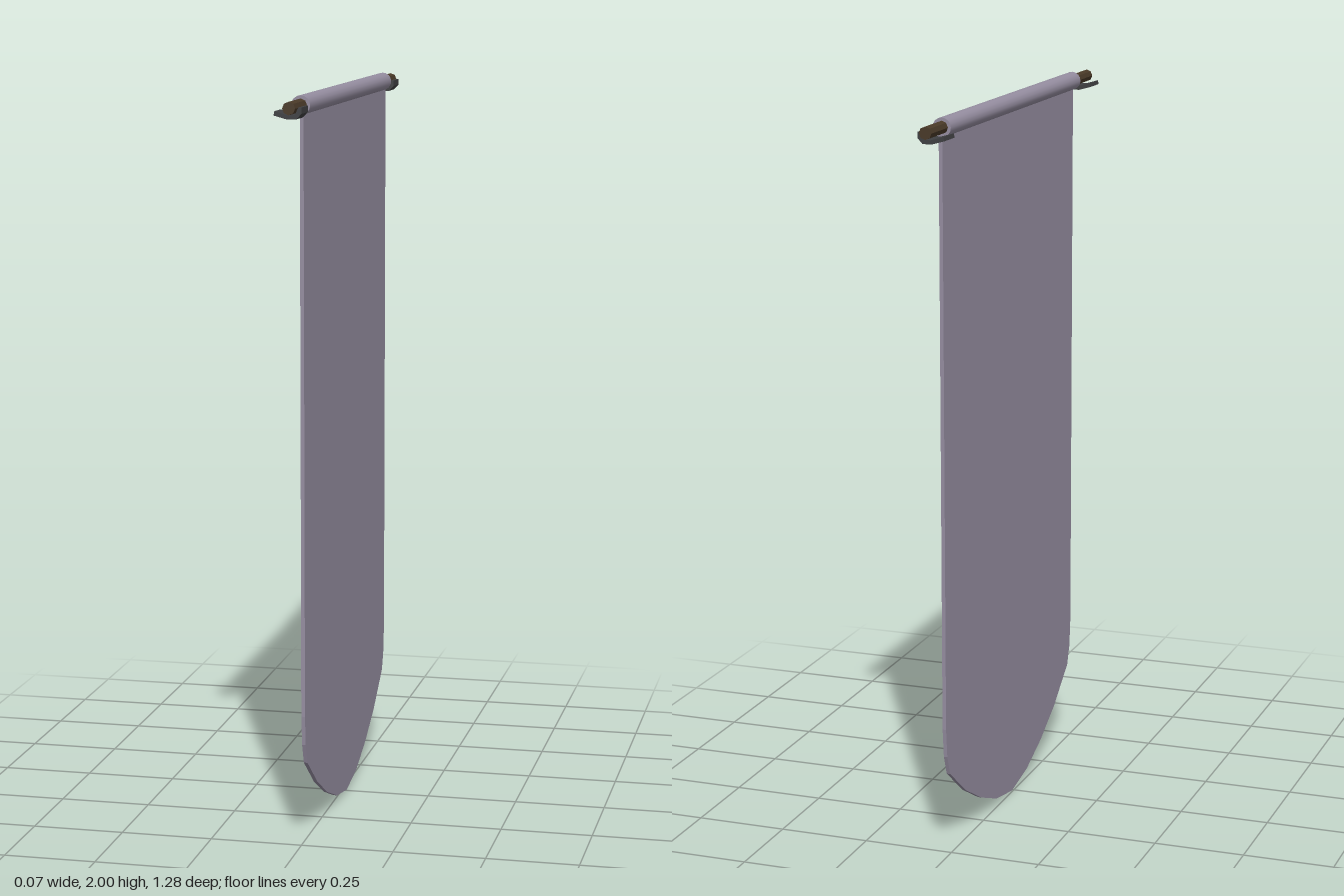
import * as THREE from 'three';

const ROD_X = 0.005, ROD_Y = 1.975, CLOTH_Z = -0.008;

function part(name, geometry, color, flatShading = false) {
  const mesh = new THREE.Mesh(geometry, new THREE.MeshStandardMaterial({ color, flatShading }));
  mesh.name = name;
  return mesh;
}

// Cylinder lying along z
function bar(radius, length, sides) {
  return new THREE.CylinderGeometry(radius, radius, length, sides).rotateX(Math.PI / 2);
}

export function createModel() {
  const group = new THREE.Group();
  group.name = 'hangingBanner';
  const lilac = 0x968ea1, wood = 0x4a3a28, iron = 0x3f4042;

  // Cloth: straight sides, soft corners and a curved lower edge
  const half = [[0.518, 1.96], [0.518, 0.36], [0.51, 0.28], [0.49, 0.225],
    [0.37, 0.135], [0.25, 0.07], [0.127, 0.022]];
  const outline = [
    ...half.map(([z, y]) => new THREE.Vector2(z, y)),
    new THREE.Vector2(0, 0),
    ...half.slice().reverse().map(([z, y]) => new THREE.Vector2(-z, y)),
  ];
  const clothGeometry = new THREE.ExtrudeGeometry(new THREE.Shape(outline), { depth: 0.01, bevelEnabled: false });
  clothGeometry.translate(0, 0, -0.005).rotateY(Math.PI / 2);
  const cloth = part('cloth', clothGeometry, lilac);
  cloth.position.set(0.008, 0, CLOTH_Z);
  group.add(cloth);

  // Rolled sleeve around the rod
  const sleeve = part('sleeve', bar(0.025, 1.034, 16), lilac);
  sleeve.position.set(ROD_X, ROD_Y, CLOTH_Z);
  group.add(sleeve);

  // Wooden rod
  const rod = part('rod', bar(0.017, 1.28, 8), wood, true);
  rod.position.set(ROD_X, ROD_Y, 0);
  group.add(rod);

  // Bent cradle under each end of the rod
  const profile = [[-0.039, 1.966], [-0.041, 1.955], [-0.005, 1.945], [0.018, 1.946],
    [0.031, 1.96], [0.031, 1.976], [0.023, 1.976], [0.014, 1.957], [-0.004, 1.956]];
  const cradleShape = new THREE.Shape(profile.map(([x, y]) => new THREE.Vector2(x, y)));
  for (const [name, z] of [['frontCradle', 0.575], ['backCradle', -0.59]]) {
    const geometry = new THREE.ExtrudeGeometry(cradleShape, { depth: 0.072, bevelEnabled: false });
    const cradle = part(name, geometry.translate(0, 0, -0.036), iron, true);
    cradle.position.z = z;
    group.add(cradle);
  }
  return group;
}
